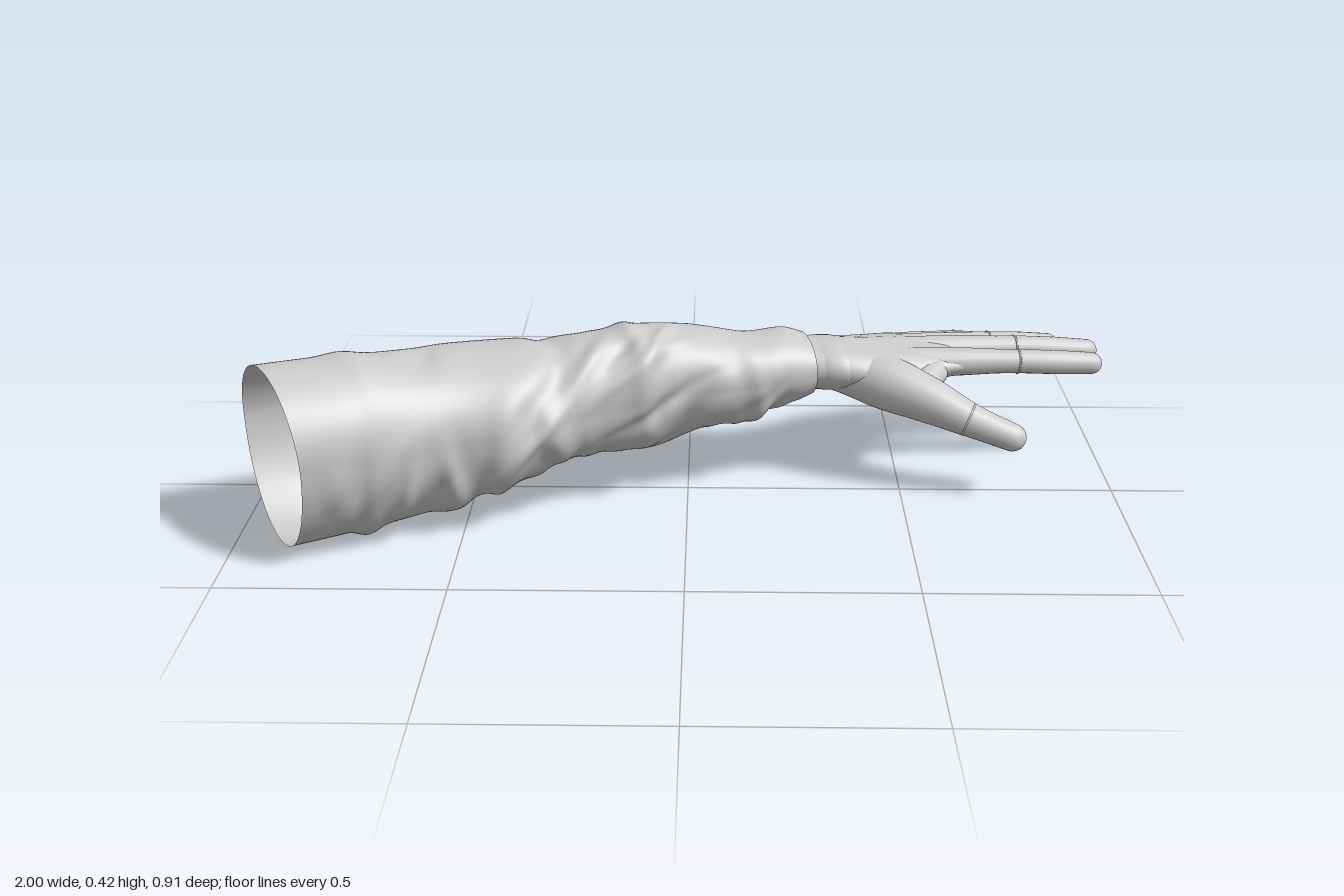
import * as THREE from 'three';

const V = (x, y, z) => new THREE.Vector3(x, y, z);
const UP = V(0, 1, 0);
const material = new THREE.MeshStandardMaterial({ color: 0xcccccc, side: THREE.DoubleSide });

// Skin a grid of points(s, a): s runs along the part, a runs round it
function loft(name, along, around, point) {
  const pos = [], idx = [];
  for (let i = 0; i <= along; i++) {
    for (let j = 0; j < around; j++) {
      const p = point(i / along, (j / around) * Math.PI * 2);
      pos.push(p.x, p.y, p.z);
      if (i === along) continue;
      const k = (j + 1) % around, a = i * around, b = a + around;
      idx.push(a + j, b + j, b + k, a + j, b + k, a + k);
    }
  }
  const g = new THREE.BufferGeometry();
  g.setAttribute('position', new THREE.Float32BufferAttribute(pos, 3));
  g.setIndex(idx);
  g.computeVertexNormals();
  const mesh = new THREE.Mesh(g, material);
  mesh.name = name;
  return mesh;
}

// Smooth blend of section rows at s in 0..1
function blend(rows, s) {
  const f = s * (rows.length - 1), i = Math.min(Math.floor(f), rows.length - 2), t = f - i;
  const at = k => rows[Math.max(0, Math.min(rows.length - 1, k))];
  return rows[i].map((p1, c) => {
    const p0 = at(i - 1)[c], p2 = at(i + 1)[c], p3 = at(i + 2)[c];
    return p1 + 0.5 * t * (p2 - p0 + t * (2 * p0 - 5 * p1 + 4 * p2 - p3 + t * (3 * (p1 - p2) + p3 - p0)));
  });
}

// Oval section between a back and a front edge point.
// Row: backX, backY, backZ, frontX, frontY, frontZ, rise, drop, lean of the top
function oval(rows, s, a, swell = 0) {
  const [bx, by, bz, fx, fy, fz, rise, drop, lean] = blend(rows, s);
  const c = Math.cos(a) * (1 + swell), n = Math.sin(a) * (1 + swell);
  return V((bx + fx) / 2 + (fx - bx) / 2 * c,
    (by + fy) / 2 + (fy - by) / 2 * c + (n > 0 ? rise : drop) * n,
    (bz + fz) / 2 + (fz - bz) / 2 * c + lean * Math.max(0, n));
}

// Round tapering limb through points with radii, closed by a rounded tip
function limb(name, points, radii) {
  const curve = new THREE.CatmullRomCurve3(points.map(p => V(...p)));
  const len = curve.getLength();
  const rows = radii.map(r => [r]);
  const tip = radii[radii.length - 1];
  return loft(name, 36, 20, (s, a) => {
    const q = 1 - (1 - s) ** 1.6;
    const d = curve.getTangentAt(q);
    const side = d.clone().cross(UP).normalize(), up = side.clone().cross(d);
    const left = Math.min(1, (1 - q) * len / tip);
    const r = blend(rows, q)[0] * Math.sqrt(1 - (1 - left) ** 2);
    return curve.getPointAt(q).addScaledVector(side, r * Math.cos(a)).addScaledVector(up, r * Math.sin(a));
  });
}

// Short raised hem round a limb, centred at c and facing direction d
function hem(name, c, d, r) {
  const mesh = new THREE.Mesh(new THREE.TorusGeometry(r, 0.0025, 8, 28), material);
  mesh.position.copy(c);
  mesh.quaternion.setFromUnitVectors(V(0, 0, 1), d.clone().normalize());
  mesh.name = name;
  return mesh;
}

const sleeveRows = [
  [-1.00, 0.24, 0.13, -0.80, 0.24, 0.45, 0.18, 0.237, 0.02],
  [-0.85, 0.24, 0.06, -0.70, 0.24, 0.40, 0.175, 0.232, 0.02],
  [-0.70, 0.23, -0.005, -0.60, 0.23, 0.345, 0.175, 0.215, 0.02],
  [-0.57, 0.23, -0.09, -0.48, 0.23, 0.29, 0.165, 0.195, 0.02],
  [-0.42, 0.23, -0.145, -0.34, 0.24, 0.245, 0.155, 0.175, 0.02],
  [-0.28, 0.23, -0.175, -0.22, 0.25, 0.17, 0.15, 0.14, 0.03],
  [-0.14, 0.23, -0.20, -0.09, 0.26, 0.12, 0.16, 0.145, 0.03],
  [0.00, 0.24, -0.228, 0.02, 0.27, 0.075, 0.135, 0.125, 0.03],
  [0.12, 0.25, -0.222, 0.15, 0.27, 0.045, 0.105, 0.11, 0.02],
  [0.20, 0.26, -0.23, 0.24, 0.275, 0.01, 0.098, 0.09, 0.01],
  [0.25, 0.265, -0.235, 0.30, 0.28, -0.015, 0.075, 0.072, 0.01],
];

// Crumpled cloth: seeded slanting creases, each a soft ridge or hollow
let seed = 7;
const random = () => (seed = (seed * 16807) % 2147483647) / 2147483647;
const creases = Array.from({ length: 90 }, (_, i) => ({
  s: 0.07 + 0.87 * random(),
  a: (i % 3 ? -1.2 + 2.6 * (random() - 0.5) : random() * Math.PI * 2),
  turn: 0.5 + 1.4 * random(),
  length: 0.05 + 0.09 * random(),
  width: 0.014 + 0.022 * random(),
  height: (i % 2 ? 0.085 : -0.075) * (0.5 + 0.6 * random()),
}));

function folds(s, a) {
  let sum = 0;
  for (const k of creases) {
    const x = (s - k.s) * 1.35;
    const turnBy = a - k.a, y = 0.17 * Math.atan2(Math.sin(turnBy), Math.cos(turnBy));
    const u = x * Math.cos(k.turn) + y * Math.sin(k.turn);
    const v = y * Math.cos(k.turn) - x * Math.sin(k.turn);
    sum += k.height * Math.exp(-((u / k.length) ** 2) - (v / k.width) ** 2);
  }
  return Math.min(1, 0.15 + s * 8, (1 - s) * 9) * 0.12 * Math.tanh(sum / 0.12);
}

const handRows = [
  [0.22, 0.265, -0.215, 0.27, 0.28, -0.03, 0.063, 0.06, 0],
  [0.31, 0.262, -0.235, 0.36, 0.28, -0.025, 0.062, 0.06, 0],
  [0.39, 0.25, -0.28, 0.44, 0.272, -0.03, 0.06, 0.06, 0],
  [0.47, 0.24, -0.335, 0.53, 0.268, -0.055, 0.054, 0.058, 0],
  [0.53, 0.238, -0.348, 0.60, 0.268, -0.09, 0.044, 0.05, 0],
  [0.58, 0.238, -0.335, 0.655, 0.268, -0.11, 0.032, 0.036, 0],
  [0.62, 0.245, -0.29, 0.675, 0.265, -0.135, 0.008, 0.01, 0],
];

// Knuckle, middle and tip of each finger, tip radius, glove hem position
const fingers = [
  ['index', [0.52, 0.272, -0.13], [0.76, 0.268, -0.15], [0.99, 0.253, -0.177], 0.026, 0.56],
  ['middle', [0.52, 0.27, -0.205], [0.78, 0.265, -0.25], [1.0, 0.243, -0.29], 0.026, 0.56],
  ['ring', [0.50, 0.26, -0.25], [0.73, 0.25, -0.32], [0.92, 0.225, -0.382], 0.025, 0.56],
  ['little', [0.46, 0.245, -0.30], [0.65, 0.233, -0.38], [0.805, 0.2, -0.445], 0.022, 0.58],
];

export function createModel() {
  const model = new THREE.Group();
  model.name = 'sleevedArm';

  // Open sleeve
  model.add(loft('sleeve', 150, 84, (s, a) => {
    const p = oval(sleeveRows, s, a, folds(s, a));
    p.y = Math.max(0, p.y);
    return p;
  }));

  // Turned-in lip where the sleeve meets the glove
  model.add(loft('sleeveLip', 3, 84, (s, a) => oval(sleeveRows, 1, a, -0.2 * s)));

  const hand = new THREE.Group();
  hand.name = 'hand';
  model.add(hand);

  // Wrist, palm and back of the hand, with soft tendons fanning to the knuckles
  hand.add(loft('palm', 48, 64, (s, a) => {
    const top = Math.max(0, Math.sin(a));
    return oval(handRows, s, a, 0.035 * top * Math.cos(9 * Math.cos(a)) * Math.sin(Math.PI * s) ** 2);
  }));
  hand.add(loft('gloveCuff', 8, 48, (s, a) =>
    oval(handRows, 0.1 + 0.1 * s, a, 0.03 * Math.sin(Math.PI * s) ** 0.5)));

  // Fingers with glove hems
  for (const [name, base, mid, tip, r, h] of fingers) {
    const points = [base, mid, tip];
    hand.add(limb(name + 'Finger', points, [r * 1.4, r * 1.3, r * 1.1, r * 1.1, r]));
    const curve = new THREE.CatmullRomCurve3(points.map(p => V(...p)));
    hand.add(hem(name + 'Hem', curve.getPointAt(h), curve.getTangentAt(h), r * 1.1));
  }

  // Thumb, with the ball of the thumb blending into the palm
  hand.add(limb('thumb',
    [[0.34, 0.262, -0.10], [0.45, 0.248, -0.07], [0.56, 0.22, -0.022], [0.65, 0.187, 0.012], [0.782, 0.138, 0.034]],
    [0.045, 0.064, 0.054, 0.038, 0.032]));
  hand.add(hem('thumbHem', V(0.65, 0.187, 0.012), V(0.1, -0.036, 0.027), 0.039));

  // Web bridging thumb and index finger
  hand.add(limb('thumbWeb', [[0.53, 0.225, -0.03], [0.555, 0.245, -0.072], [0.6, 0.264, -0.13]], [0.042, 0.036, 0.03]));

  return model;
}
